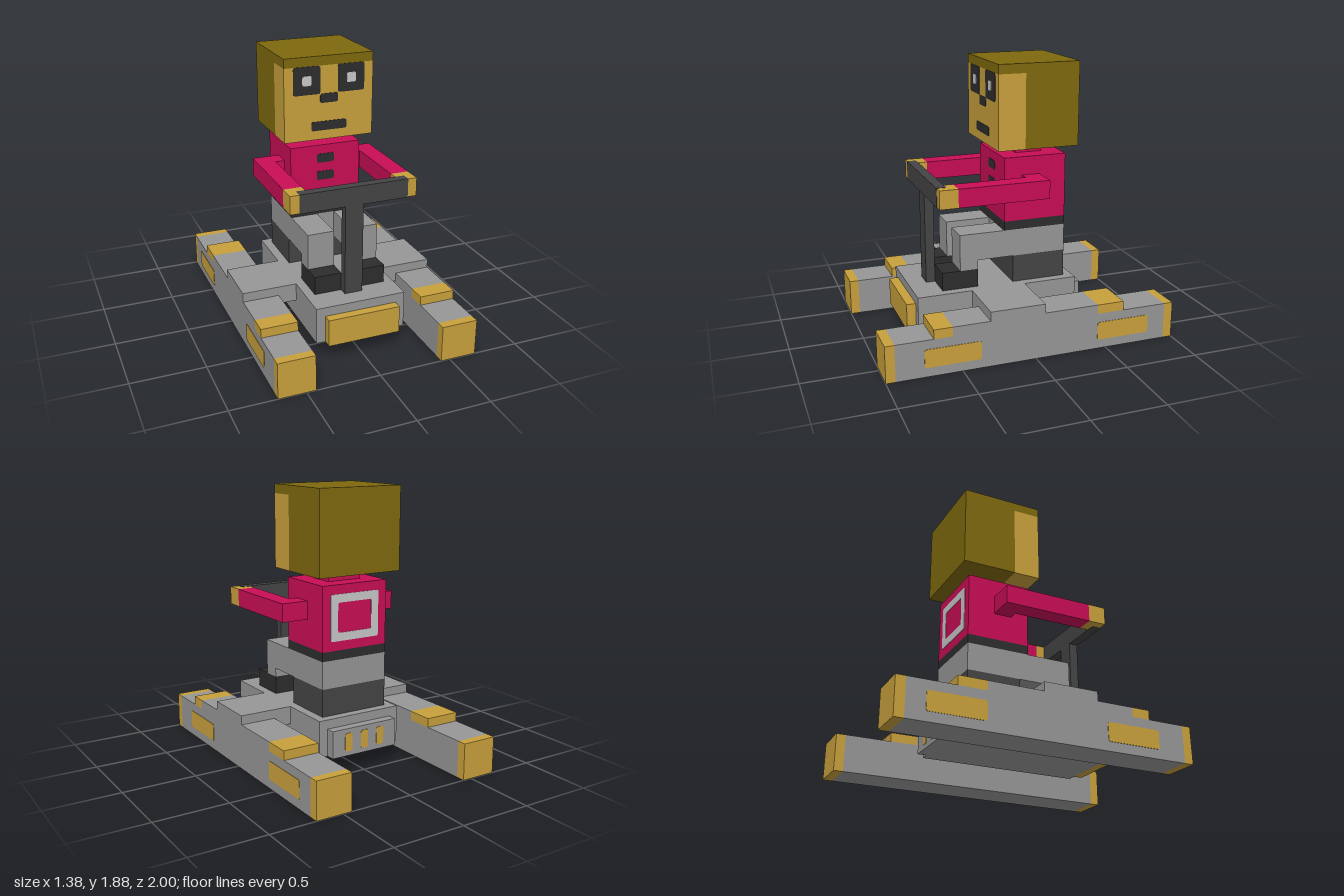
import * as THREE from 'three';

const U = 1 / 16; // block unit

function material(name, color) {
  const m = new THREE.MeshStandardMaterial({ color });
  m.name = name;
  return m;
}

export function createModel() {
  const grey = material('grey', 0x969696);
  const gold = material('gold', 0xc8a03c);
  const olive = material('olive', 0x7e690e);
  const pink = material('pink', 0xc80e55);
  const dark = material('dark grey', 0x444444);
  const black = material('black', 0x2d2d2d);
  const light = material('light grey', 0xc8c8c8);

  const model = new THREE.Group();
  model.name = 'sledRider';

  function add(name, geometry, mat) {
    const mesh = new THREE.Mesh(geometry, mat);
    mesh.name = name;
    model.add(mesh);
    return mesh;
  }

  // Box from its limits, given in block units
  function box(name, mat, [x0, x1], [y0, y1], [z0, z1]) {
    const g = new THREE.BoxGeometry((x1 - x0) * U, (y1 - y0) * U, (z1 - z0) * U);
    g.translate((x0 + x1) * U / 2, (y0 + y1) * U / 2, (z0 + z1) * U / 2);
    return add(name, g, mat);
  }

  // The same box on both sides
  function pair(name, mat, [x0, x1], y, z) {
    box(name + 'Left', mat, [x0, x1], y, z);
    box(name + 'Right', mat, [-x1, -x0], y, z);
  }

  function roundedRect(Type, w, h, r) {
    const s = new Type(), x = w / 2, y = h / 2;
    s.moveTo(-x + r, -y).lineTo(x - r, -y).quadraticCurveTo(x, -y, x, -y + r);
    s.lineTo(x, y - r).quadraticCurveTo(x, y, x - r, y);
    s.lineTo(-x + r, y).quadraticCurveTo(-x, y, -x, y - r);
    s.lineTo(-x, -y + r).quadraticCurveTo(-x, -y, -x + r, -y);
    return s;
  }

  // Thin painted plate with rounded corners, turned about y to face outwards
  function plate(name, mat, [x, y, z], [w, h], turn = 0, hole = 0, lift = 0.003) {
    const shape = roundedRect(THREE.Shape, w * U, h * U, 0.015);
    if (hole) shape.holes.push(roundedRect(THREE.Path, (w - hole) * U, (h - hole) * U, 0.015));
    const g = new THREE.ExtrudeGeometry(shape, { depth: lift, bevelEnabled: false, curveSegments: 3 });
    const mesh = add(name, g, mat);
    mesh.position.set(x * U, y * U, z * U);
    mesh.rotation.y = turn;
  }

  // Runners with gold tips and stepped tops
  pair('runner', grey, [7, 11], [0, 4], [-15, 15]);
  pair('frontTip', gold, [7, 11], [0, 4], [15, 16]);
  pair('backTip', gold, [7, 11], [0, 4], [-16, -15]);
  pair('runnerStep', grey, [7, 11], [4, 5], [-7, 9]);
  pair('runnerTopStep', grey, [7, 11], [5, 6], [-1, 5]);
  pair('frontPad', gold, [7, 11], [4, 5], [9, 11]);
  pair('backPad', gold, [7, 11], [4, 5], [-10, -7]);
  pair('crossArm', grey, [5, 7], [4, 6], [-1, 5]);
  for (const s of [1, -1]) {
    for (const z of [9, -10]) {
      plate('runnerPatch', gold, [s * 11, 2, z], [6, 2], s * Math.PI / 2);
    }
  }

  // Deck and bumpers
  box('deck', grey, [-5, 5], [2, 6], [-7, 11]);
  box('frontBumper', gold, [-4, 4], [2, 5], [11, 12]);
  box('backBumper', grey, [-4, 4], [2, 5], [-8, -7]);
  for (const x of [-2, 0, 2]) plate('bumperMark', gold, [x, 3.5, -8], [0.9, 2], Math.PI);

  // Seat and steering bar
  box('seat', dark, [-4, 4], [6, 9], [-6, 0]);
  box('steeringPost', dark, [-1, 1], [6, 16], [8, 9]);
  box('handlebar', dark, [-6, 6], [15.97, 18.03], [8, 9.04]);

  // Legs and feet
  box('hips', grey, [-4, 4], [9, 12], [-6, 1]);
  pair('thigh', grey, [1, 4], [9, 12], [1, 6]);
  pair('shin', grey, [1, 4], [8, 9], [4, 6]);
  pair('foot', black, [1, 4], [6, 8], [4, 8]);

  // Torso
  box('belt', black, [-4, 4], [12, 13], [-6, 1]);
  box('torso', pink, [-4, 4], [13, 20], [-6, 1]);
  box('neck', pink, [-2, 2], [20, 21], [-4, -1]);
  for (const y of [14.5, 16.5, 18.5]) plate('button', black, [0, y, 1], [2, 1]);
  plate('backFrame', light, [0, 16.5, -6], [6, 5], Math.PI, 1.8);

  // Arms reaching to the bar
  pair('shoulder', pink, [4, 5], [16, 18], [-3, -1]);
  pair('arm', pink, [5, 7], [16, 18], [-3, 7]);
  pair('hand', gold, [5, 7], [16, 18], [7, 9]);

  // Head
  box('hairBack', olive, [-5, 5], [21, 29], [-7, -1]);
  box('hairTop', olive, [-5, 5], [29, 30], [-7, 2]);
  box('face', gold, [-5, 5], [21, 29], [-1, 2]);
  for (const s of [1, -1]) {
    plate('eye', black, [s * 2.5, 27.5, 2], [3, 3]);
    plate('pupil', light, [s * 2.5, 27.5, 2], [1.05, 1.05], 0, 0, 0.006);
  }
  plate('nose', black, [0, 25.5, 2], [2, 1]);
  plate('mouth', black, [0, 22.5, 2], [4, 1]);

  return model;
}
